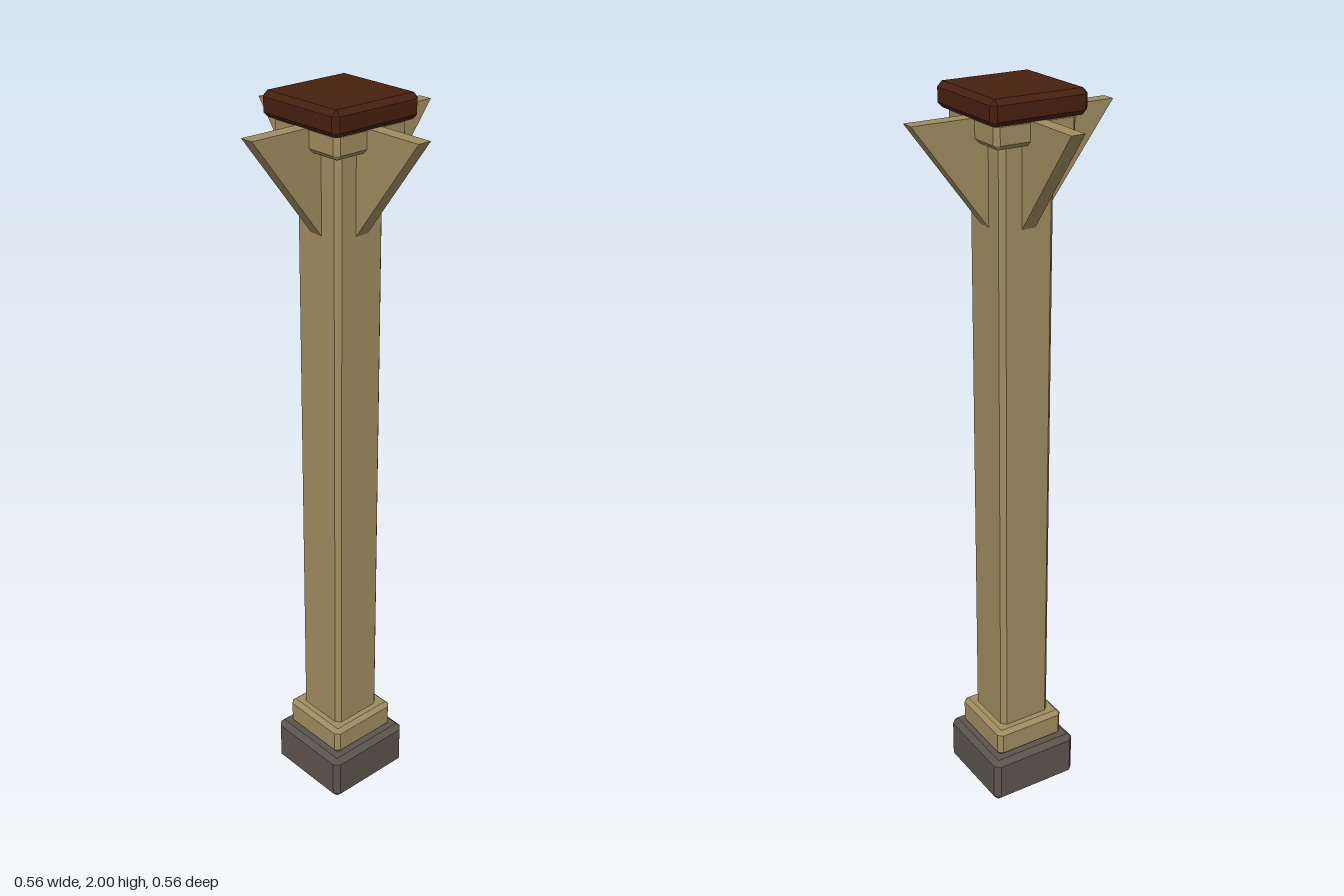
import * as THREE from 'three';
import { ConvexGeometry } from 'three/addons/geometries/ConvexGeometry.js';

const material = (name, color) => {
  const m = new THREE.MeshStandardMaterial({ color, flatShading: true });
  m.name = name;
  return m;
};

// Square block from y0 to y1 with every edge and corner chamfered by c
function chamferedBlock(name, half, y0, y1, c, mat) {
  const h = (y1 - y0) / 2;
  const points = [];
  for (const sx of [-1, 1]) for (const sy of [-1, 1]) for (const sz of [-1, 1]) {
    points.push(
      new THREE.Vector3(sx * half, sy * (h - c), sz * (half - c)),
      new THREE.Vector3(sx * (half - c), sy * h, sz * (half - c)),
      new THREE.Vector3(sx * (half - c), sy * (h - c), sz * half),
    );
  }
  const mesh = new THREE.Mesh(new ConvexGeometry(points), mat);
  mesh.name = name;
  mesh.position.y = (y0 + y1) / 2;
  return mesh;
}

export function createModel() {
  const group = new THREE.Group();
  group.name = 'pillar';
  const wood = material('paleWood', 0xa08d60);
  const darkWood = material('darkWood', 0x47200e);
  const stone = material('stone', 0x5c544d);

  // Stacked blocks from the ground up
  group.add(
    chamferedBlock('footing', 0.132, 0, 0.138, 0.015, stone),
    chamferedBlock('plinth', 0.105, 0.135, 0.218, 0.012, wood),
    chamferedBlock('shaft', 0.077, 0.205, 1.892, 0.013, wood),
    chamferedBlock('capital', 0.113, 1.878, 1.945, 0.012, wood),
    chamferedBlock('capSlab', 0.133, 1.937, 2, 0.013, darkWood),
  );

  // Four triangular brackets, their inner edge sunk into the shaft
  const thickness = 0.038;
  const profile = new THREE.Shape([
    new THREE.Vector2(0.065, 1.654),
    new THREE.Vector2(0.28, 1.938),
    new THREE.Vector2(0.065, 1.938),
  ]);
  const bracketGeometry = new THREE.ExtrudeGeometry(profile, { depth: thickness, bevelEnabled: false });
  bracketGeometry.translate(0, 0, -thickness / 2);
  ['left', 'back', 'right', 'front'].forEach((side, i) => {
    const bracket = new THREE.Mesh(bracketGeometry, wood);
    bracket.name = side + 'Bracket';
    bracket.rotation.y = i * Math.PI / 2;
    group.add(bracket);
  });
  return group;
}
